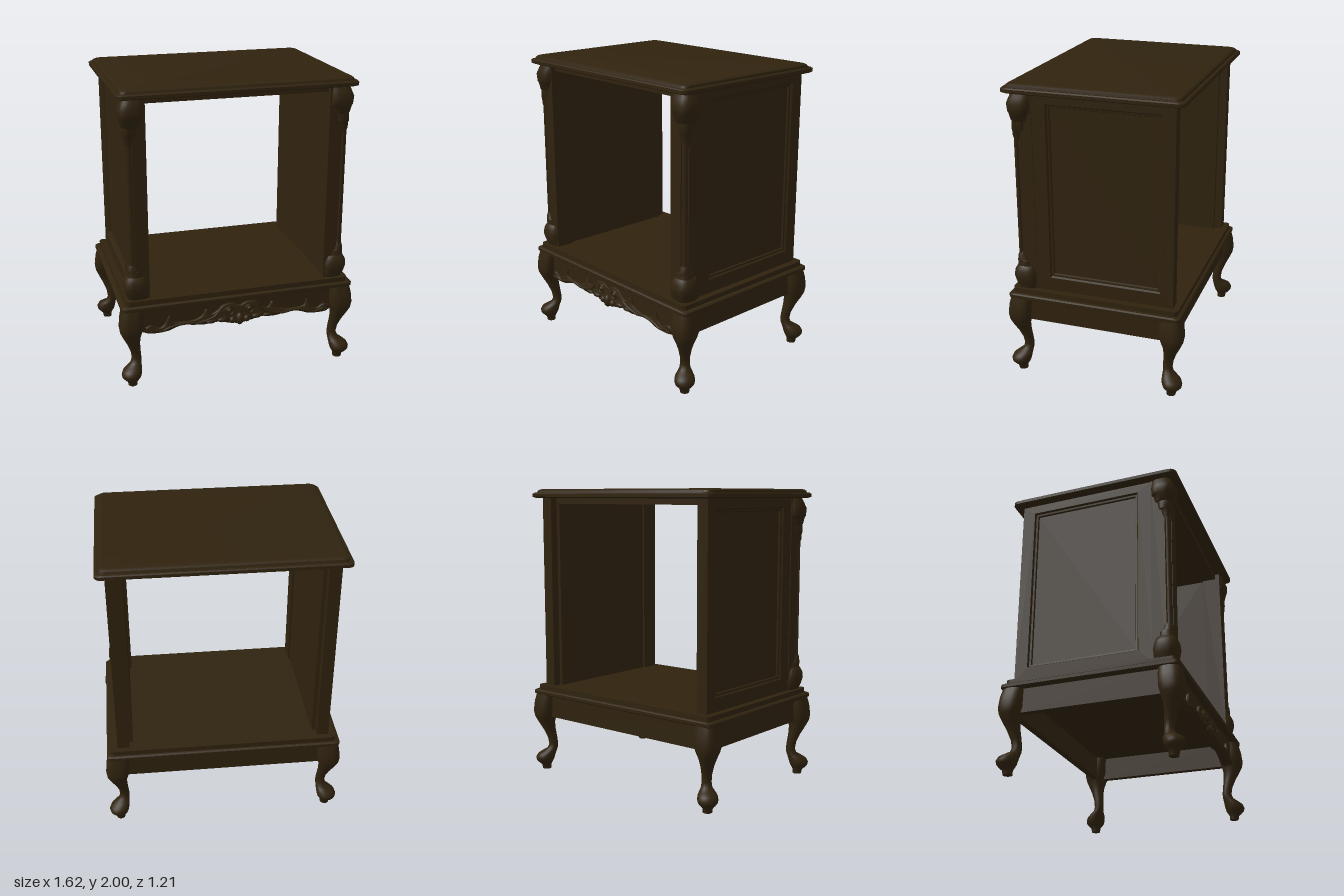
import * as THREE from 'three';
import { toCreasedNormals } from 'three/addons/utils/BufferGeometryUtils.js';

const wood = new THREE.MeshStandardMaterial({ color: 0x30230f });
wood.name = 'dark walnut';

export function createModel() {
  const model = new THREE.Group();

  const add = (name, geo) => {
    const mesh = new THREE.Mesh(geo, wood);
    mesh.name = name;
    model.add(mesh);
    return mesh;
  };

  // Box given by its minimum and maximum corners
  const box = (name, x0, x1, y0, y1, z0, z1) => {
    const geo = new THREE.BoxGeometry(x1 - x0, y1 - y0, z1 - z0);
    geo.translate((x0 + x1) / 2, (y0 + y1) / 2, (z0 + z1) / 2);
    return add(name, geo);
  };

  // Skin over rings of points (counterclockwise from above), capped at the ends
  const loft = (rings, crease = 0.6, bottom = true) => {
    const n = rings[0].length, pos = rings.flat(2), index = [];
    for (let i = 0; i < rings.length - 1; i++) {
      for (let j = 0; j < n; j++) {
        const a = i * n + j, b = i * n + (j + 1) % n;
        index.push(a, b, b + n, a, b + n, a + n);
      }
    }
    const top = (rings.length - 1) * n;
    for (let j = 1; j < n - 1; j++) {
      if (bottom) index.push(0, j + 1, j);
      index.push(top, top + j, top + j + 1);
    }
    const geo = new THREE.BufferGeometry();
    geo.setAttribute('position', new THREE.Float32BufferAttribute(pos, 3));
    geo.setIndex(index);
    return toCreasedNormals(geo, crease);
  };

  // Rounded rectangle ring
  const slabRing = (y, hx, hz, r = 0.04, steps = 5) => {
    const ring = [];
    [[1, -1], [-1, -1], [-1, 1], [1, 1]].forEach(([sx, sz], q) => {
      for (let k = 0; k <= steps; k++) {
        const a = (q + k / steps) * Math.PI / 2;
        ring.push([sx * (hx - r) + r * Math.cos(a), y, sz * (hz - r) - r * Math.sin(a)]);
      }
    });
    return ring;
  };

  // Superellipse ring: p = 2 is round, larger is squarer
  const roundRing = (cx, y, cz, r, p, n = 28) => Array.from({ length: n }, (_, j) => {
    const a = (j + 0.5) / n * Math.PI * 2, c = Math.cos(a), s = Math.sin(a);
    const f = r / Math.pow(Math.abs(c) ** p + Math.abs(s) ** p, 1 / p);
    return [cx + f * c, y, cz - f * s];
  });

  // Corner pieces from rows of [y, outer x, inner x, squareness]
  const cornerLoft = (rows, sx, sz, dz) => loft(rows.map(([y, o, i, p]) =>
    roundRing(sx * (o + i) / 2, y, sz * ((o + i) / 2 - dz), (o - i) / 2, p)), 0.75);

  // Table top and base mouldings
  add('tableTop', loft([
    slabRing(1.94, 0.765, 0.57), slabRing(1.948, 0.78, 0.587), slabRing(1.968, 0.78, 0.587),
    slabRing(1.975, 0.772, 0.58), slabRing(1.976, 0.758, 0.565), slabRing(1.99, 0.755, 0.56),
    slabRing(1.997, 0.745, 0.55), slabRing(2, 0.735, 0.54)]));
  box('topRail', -0.62, 0.62, 1.9, 1.945, -0.47, 0.5);
  add('upperBaseMoulding', loft([slabRing(0.585, 0.765, 0.565, 0.03), slabRing(0.62, 0.765, 0.565, 0.03)]));
  add('lowerBaseMoulding', loft([
    slabRing(0.553, 0.785, 0.578, 0.03), slabRing(0.56, 0.795, 0.587, 0.03),
    slabRing(0.58, 0.795, 0.587, 0.03), slabRing(0.587, 0.785, 0.578, 0.03)]));

  // Cabriole legs
  const legRows = [
    [0, 0.762, 0.702, 2], [0.03, 0.767, 0.7, 2], [0.045, 0.785, 0.69, 2], [0.065, 0.802, 0.678, 2],
    [0.085, 0.806, 0.672, 2], [0.11, 0.795, 0.668, 2], [0.13, 0.768, 0.667, 2], [0.15, 0.738, 0.666, 2],
    [0.18, 0.728, 0.664, 2], [0.23, 0.735, 0.668, 2], [0.29, 0.757, 0.673, 2.1], [0.345, 0.784, 0.673, 2.3],
    [0.39, 0.804, 0.662, 2.6], [0.43, 0.81, 0.65, 2.9], [0.5, 0.802, 0.648, 3.2], [0.556, 0.788, 0.648, 3.5]];
  for (const sx of [-1, 1]) {
    for (const sz of [-1, 1]) {
      add(`${sz > 0 ? 'front' : 'back'}${sx > 0 ? 'Left' : 'Right'}Leg`, cornerLoft(legRows, sx, sz, 0.205));
    }
  }

  // Carved corner caps on the front posts
  const upperCap = [
    [1.6, 0.715, 0.68, 2], [1.66, 0.735, 0.675, 2], [1.7, 0.738, 0.665, 2.2], [1.705, 0.742, 0.65, 2.4],
    [1.76, 0.742, 0.64, 2.4], [1.765, 0.747, 0.625, 2.6], [1.81, 0.757, 0.618, 2.6], [1.82, 0.763, 0.605, 2.8],
    [1.87, 0.767, 0.603, 3], [1.91, 0.752, 0.603, 3], [1.942, 0.738, 0.603, 3]];
  const lowerCap = [
    [0.618, 0.742, 0.603, 3], [0.66, 0.757, 0.603, 3], [0.7, 0.766, 0.603, 3], [0.74, 0.762, 0.61, 2.8],
    [0.77, 0.747, 0.62, 2.6], [0.775, 0.742, 0.64, 2.4], [0.81, 0.742, 0.645, 2.4], [0.815, 0.74, 0.665, 2.2],
    [0.85, 0.735, 0.675, 2], [0.88, 0.715, 0.69, 2]];

  for (const s of [-1, 1]) {
    const side = s > 0 ? 'left' : 'right';
    add(side + 'UpperCarving', cornerLoft(upperCap, s, 1, 0.2));
    add(side + 'LowerCarving', cornerLoft(lowerCap, s, 1, 0.2));

    // Front post with a notched, rounded corner
    const post = new THREE.Shape([
      [0.6, 0.4], [0.725, 0.4], [0.725, 0.495], [0.71, 0.495], [0.727, 0.505], [0.727, 0.515],
      [0.72, 0.525], [0.71, 0.53], [0.7, 0.53], [0.69, 0.512], [0.69, 0.53], [0.6, 0.53]
    ].map(([x, z]) => new THREE.Vector2(s * x, -z)));
    const postGeo = new THREE.ExtrudeGeometry(post, { depth: 1.325, bevelEnabled: false });
    postGeo.rotateX(-Math.PI / 2).translate(0, 0.617, 0);
    add(side + 'FrontPost', toCreasedNormals(postGeo, 0.8));

    // Side frame with a window for the sunken panel
    const rect = (P, z0, z1, y0, y1) => new P([[z0, y0], [z1, y0], [z1, y1], [z0, y1]]
      .map(([z, y]) => new THREE.Vector2(-s * z, y)));
    const frame = rect(THREE.Shape, -0.525, 0.405, 0.617, 1.942);
    frame.holes.push(rect(THREE.Path, -0.44, 0.31, 0.71, 1.88));
    const frameGeo = new THREE.ExtrudeGeometry(frame, { depth: 0.08, bevelEnabled: false });
    frameGeo.translate(0, 0, 0.64).rotateY(s * Math.PI / 2);
    add(side + 'SideFrame', frameGeo);

    // Sunken panel with sloping moulded edge
    const panelRing = (h, inset) => slabRing(h, 0.585 - inset, 0.375 - inset, 0.0005, 1);
    const panel = loft([panelRing(0.72, 0), panelRing(0.708, 0.008), panelRing(0.706, 0.02),
      panelRing(0.695, 0.025)], 0.2, false);
    panel.translate(-s * 1.295, 0, -0.065).rotateZ(-s * Math.PI / 2);
    add(side + 'SidePanel', panel);

    // Inner wall stops short of the back edge
    const xs = [s * 0.615, s * 0.66].sort((a, b) => a - b);
    box(side + 'InnerWall', xs[0], xs[1], 0.617, 1.942, -0.47, 0.41);

    // Side aprons
    const ax = [s * 0.7, s * 0.745].sort((a, b) => a - b);
    box(side + 'Apron', ax[0], ax[1], 0.393, 0.556, -0.46, 0.46);
  }
  box('backApron', -0.67, 0.67, 0.393, 0.556, -0.54, -0.495);

  // Scalloped front apron
  const mirrored = pts => [...pts.map(([x, y]) => [-x, y]), ...pts.slice(0, -1).reverse()]
    .map(([x, y]) => new THREE.Vector2(x, y));
  const scallop = new THREE.SplineCurve(mirrored([
    [0.66, 0.385], [0.62, 0.37], [0.56, 0.366], [0.49, 0.372], [0.44, 0.39], [0.38, 0.402], [0.31, 0.395],
    [0.25, 0.385], [0.19, 0.39], [0.13, 0.392], [0.09, 0.378], [0.05, 0.372], [0, 0.36]])).getPoints(96);
  const apron = new THREE.Shape([...scallop, new THREE.Vector2(0.66, 0.556), new THREE.Vector2(-0.66, 0.556)]);
  const apronGeo = new THREE.ExtrudeGeometry(apron, { depth: 0.045, bevelEnabled: false });
  add('frontApron', toCreasedNormals(apronGeo.translate(0, 0, 0.495), 0.6));

  // Raised foliage along the apron's lower edge
  const crest = new THREE.SplineCurve(mirrored([
    [0.64, 0.42], [0.6, 0.432], [0.55, 0.405], [0.51, 0.43], [0.48, 0.485], [0.46, 0.44], [0.4, 0.428],
    [0.32, 0.43], [0.26, 0.455], [0.23, 0.5], [0.2, 0.46], [0.16, 0.475], [0.11, 0.515], [0.05, 0.52],
    [0, 0.5]])).getPoints(112);
  const edge = scallop.filter(p => Math.abs(p.x) < 0.635).map(p => new THREE.Vector2(p.x, p.y + 0.006));
  const foliage = new THREE.Shape([...edge, ...crest.reverse()]);
  const foliageGeo = new THREE.ExtrudeGeometry(foliage, {
    depth: 0.006, bevelThickness: 0.01, bevelSize: 0.005, bevelOffset: -0.005, bevelSegments: 2 });
  add('apronCarving', toCreasedNormals(foliageGeo.translate(0, 0, 0.545), 0.7));

  // Carved stems, scroll ends, rosettes and central shell
  const boss = (name, x, y, rx, ry, rz, z = 0.558) =>
    add(name, new THREE.SphereGeometry(1, 16, 10).scale(rx, ry, rz).translate(x, y, z));
  for (const s of [-1, 1]) {
    const stem = new THREE.CatmullRomCurve3([
      [0.6, 0.4], [0.53, 0.385], [0.47, 0.405], [0.38, 0.418], [0.3, 0.408], [0.23, 0.42], [0.17, 0.445],
      [0.13, 0.49]].map(([x, y]) => new THREE.Vector3(s * x, y, 0.557)));
    add('carvedStem', new THREE.TubeGeometry(stem, 48, 0.01, 8));
    add('scrollEnd', new THREE.TorusGeometry(0.02, 0.008, 8, 20).translate(s * 0.61, 0.405, 0.555));
    add('rosetteRing', new THREE.TorusGeometry(0.028, 0.007, 8, 24).translate(s * 0.07, 0.47, 0.56));
    boss('rosette', s * 0.07, 0.47, 0.02, 0.02, 0.016);
    boss('leafLobe', s * 0.12, 0.41, 0.035, 0.017, 0.018);
    boss('leafLobe', s * 0.2, 0.408, 0.035, 0.014, 0.015);
    boss('shellLobe', s * 0.05, 0.4, 0.024, 0.024, 0.022);
  }
  boss('shellCentre', 0, 0.405, 0.028, 0.044, 0.03);

  return model;
}
